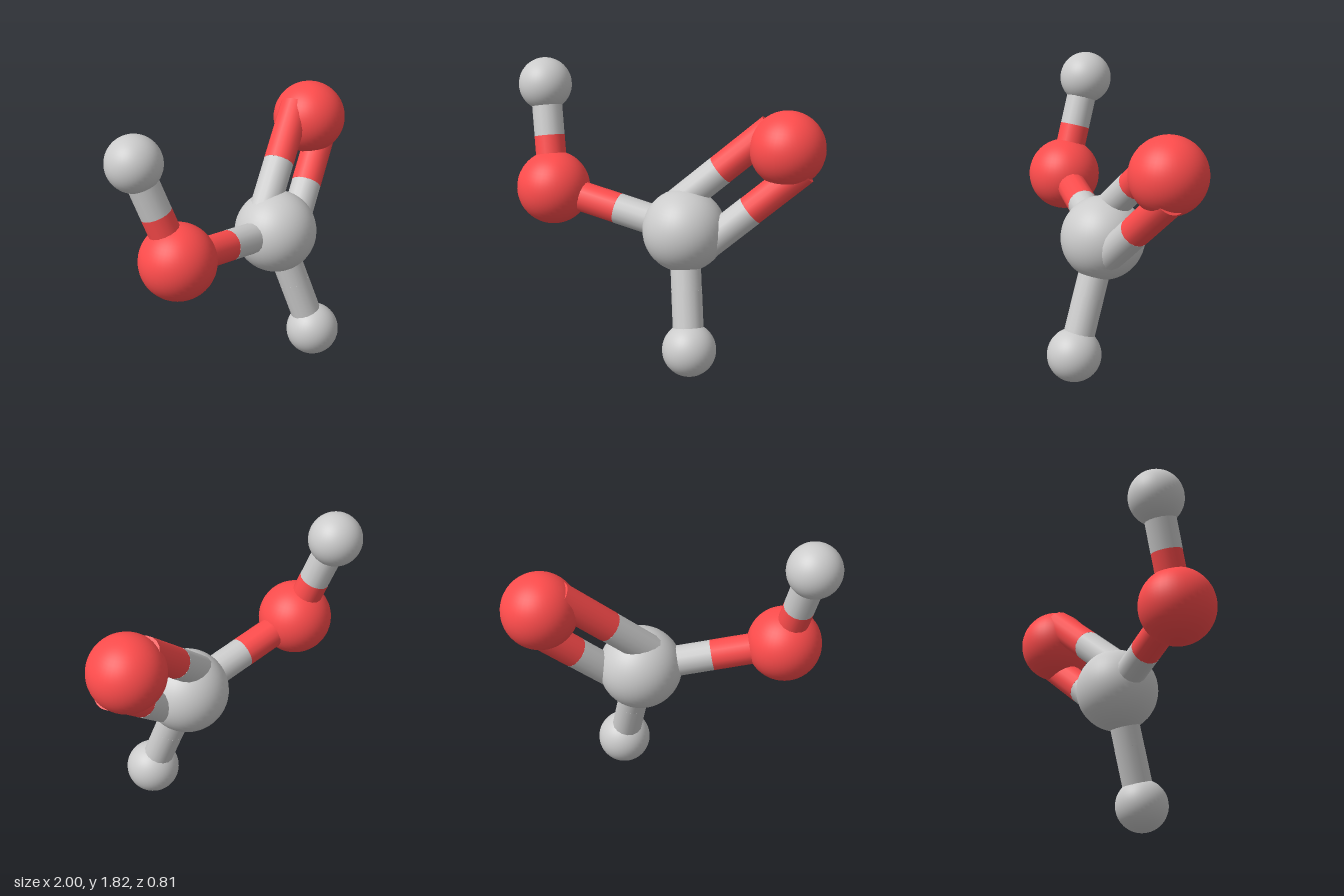
import * as THREE from 'three';

const BOND_RADIUS = 0.096;
const DOUBLE_OFFSET = 0.155;
const v = (x, y, z) => new THREE.Vector3(x, y, z);

export function createModel() {
  const model = new THREE.Group();
  const grey = new THREE.MeshStandardMaterial({ color: 0xcccccc });
  const red = new THREE.MeshStandardMaterial({ color: 0xff4c4c });

  const atoms = {
    carbon: { at: v(0.17, 0.868, 0.012), r: 0.259, mat: grey },
    singleOxygen: { at: v(-0.715, 1.036, -0.042), r: 0.232, mat: red },
    doubleOxygen: { at: v(0.765, 1.4, -0.157), r: 0.232, mat: red },
    upperHydrogen: { at: v(-0.833, 1.652, -0.238), r: 0.168, mat: grey },
    lowerHydrogen: { at: v(0.275, 0.17, 0.238), r: 0.168, mat: grey },
  };

  // Atoms
  for (const [name, atom] of Object.entries(atoms)) {
    const ball = new THREE.Mesh(new THREE.SphereGeometry(atom.r, 40, 28), atom.mat);
    ball.name = name;
    ball.position.copy(atom.at);
    model.add(ball);
  }

  // A bond is two rods meeting halfway, each in the colour of its atom
  function addBond(name, a, b, offset = v(0, 0, 0)) {
    const bond = new THREE.Group();
    bond.name = name;
    const middle = a.at.clone().lerp(b.at, 0.5);
    for (const atom of [a, b]) {
      const axis = middle.clone().sub(atom.at);
      const rod = new THREE.Mesh(
        new THREE.CylinderGeometry(BOND_RADIUS, BOND_RADIUS, axis.length(), 16), atom.mat);
      rod.name = name + 'Half';
      rod.position.copy(atom.at).lerp(middle, 0.5).add(offset);
      rod.quaternion.setFromUnitVectors(v(0, 1, 0), axis.normalize());
      bond.add(rod);
    }
    model.add(bond);
  }

  const { carbon, singleOxygen, doubleOxygen, upperHydrogen, lowerHydrogen } = atoms;
  addBond('carbonOxygenBond', carbon, singleOxygen);
  addBond('oxygenHydrogenBond', singleOxygen, upperHydrogen);
  addBond('carbonHydrogenBond', carbon, lowerHydrogen);

  // Double bond: two parallel rods spread within the plane of the molecule
  const along = doubleOxygen.at.clone().sub(carbon.at).normalize();
  const normal = along.clone().cross(singleOxygen.at.clone().sub(carbon.at));
  const spread = normal.cross(along).normalize();
  for (const side of [-1, 1]) {
    addBond(side < 0 ? 'lowerDoubleBond' : 'upperDoubleBond', carbon, doubleOxygen,
      spread.clone().multiplyScalar(side * DOUBLE_OFFSET));
  }

  return model;
}
